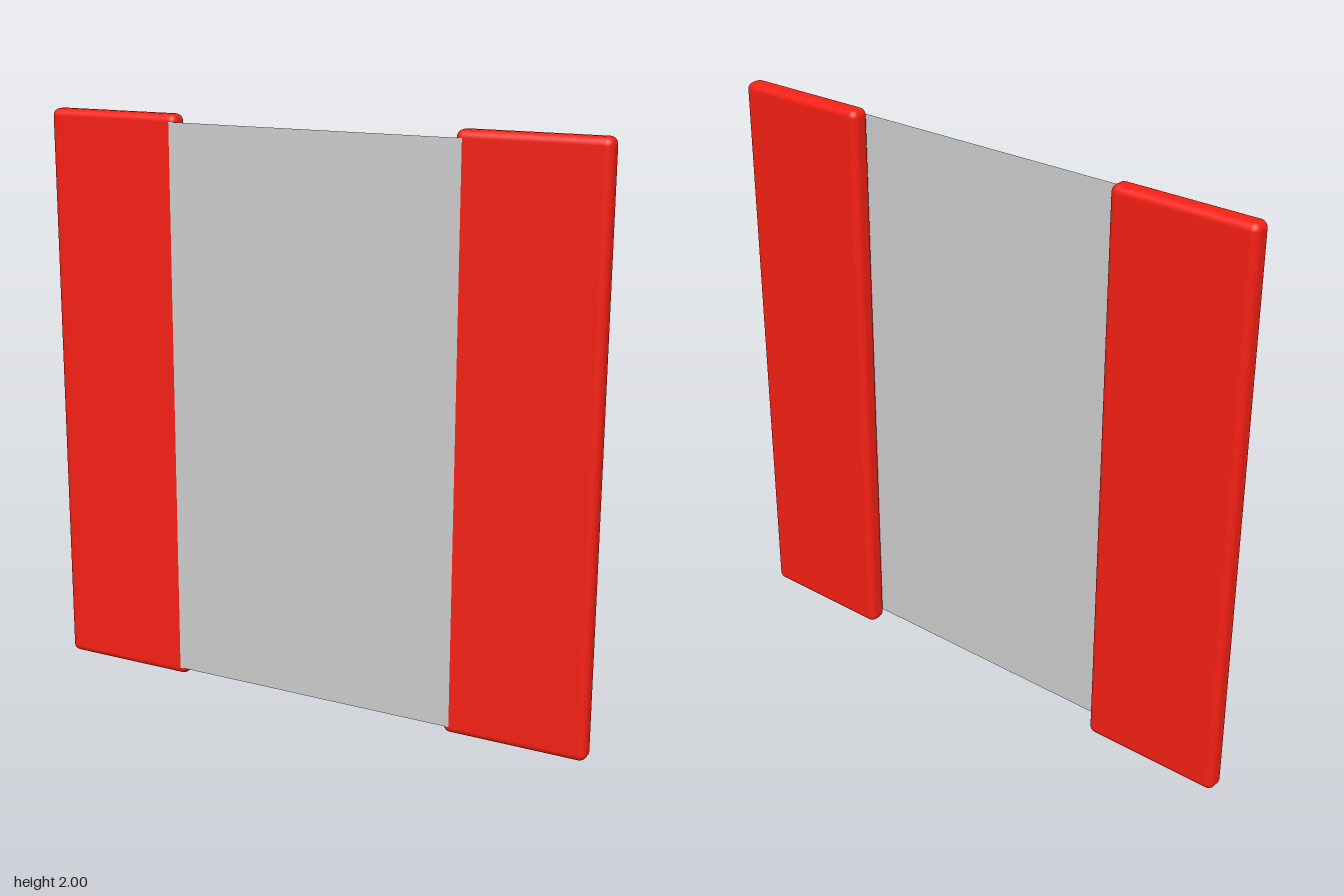
import * as THREE from 'three';
import { RoundedBoxGeometry } from 'three/addons/geometries/RoundedBoxGeometry.js';

const WIDTH = 0.5, HEIGHT = 2, DEPTH = 0.07, ROUND = 0.025;

export function createModel() {
  const model = new THREE.Group();
  const red = new THREE.MeshStandardMaterial({ color: 0xf52014 });
  const grey = new THREE.MeshStandardMaterial({ color: 0xcccccc, side: THREE.DoubleSide });

  // Two upright side panels with softly rounded edges
  const panelGeometry = new RoundedBoxGeometry(WIDTH, HEIGHT, DEPTH, 4, ROUND);
  for (const side of [-1, 1]) {
    const panel = new THREE.Mesh(panelGeometry, red);
    panel.name = side > 0 ? 'leftPanel' : 'rightPanel';
    panel.position.set(side * (1 - WIDTH / 2), HEIGHT / 2, 0);
    model.add(panel);
  }

  // Thin sheet joining the panels, level with their front faces
  const sheet = new THREE.Mesh(
    new THREE.PlaneGeometry(2 * (1 - WIDTH + ROUND), HEIGHT - 2 * ROUND), grey);
  sheet.name = 'centreSheet';
  sheet.position.set(0, HEIGHT / 2, DEPTH / 2);
  model.add(sheet);

  return model;
}
